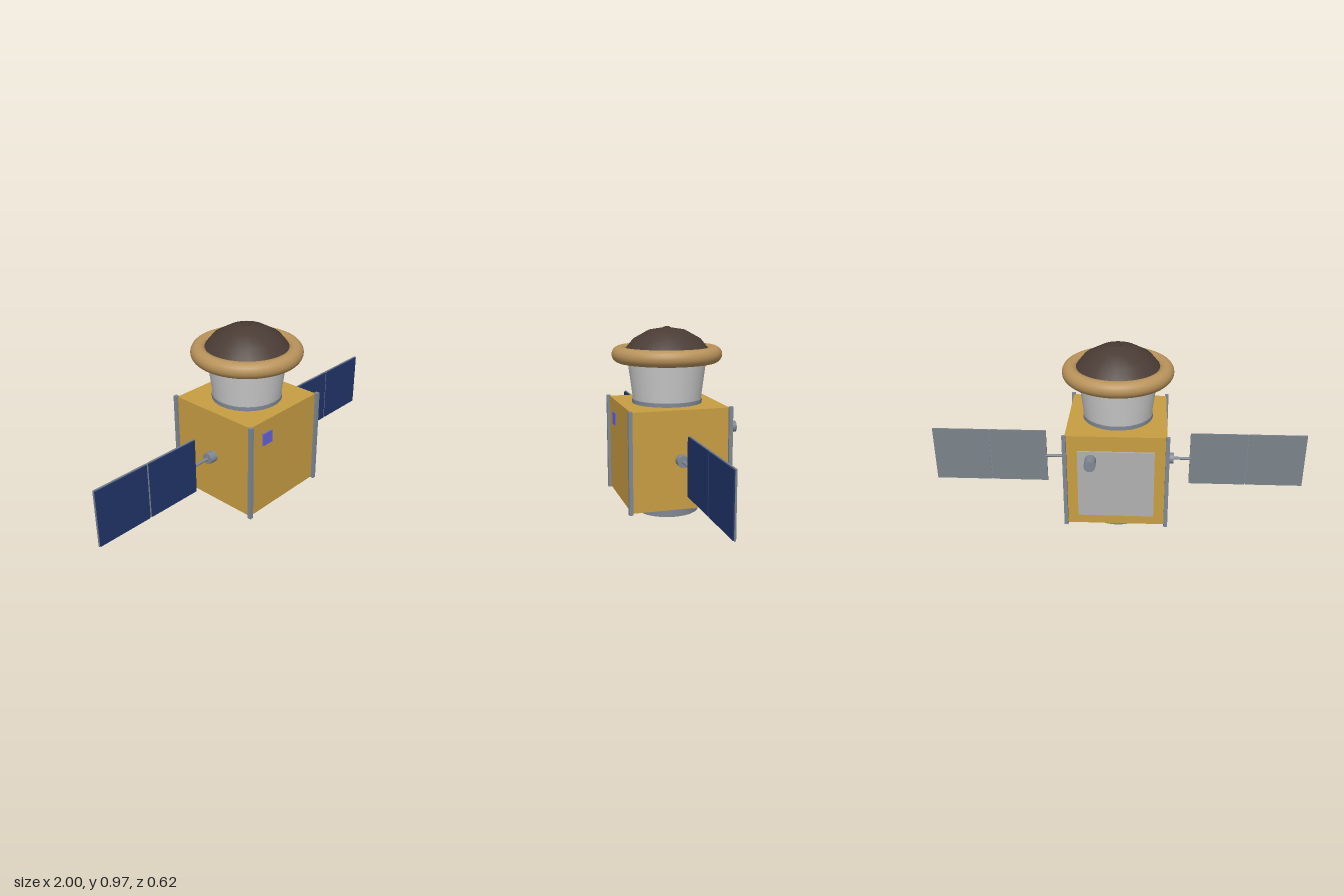
import * as THREE from 'three';
import { toCreasedNormals } from 'three/addons/utils/BufferGeometryUtils.js';

const paint = (color) => new THREE.MeshStandardMaterial({ color });
const gold = paint(0xc79d42), metal = paint(0x808893), white = paint(0xcccccc);
const brown = paint(0x4a3c35), tan = paint(0xb8925a), blue = paint(0x22356b);
const panelGrey = paint(0x7a828a), plateGrey = paint(0xb0b0b0), violet = paint(0x6464dc);

export function createModel() {
  const model = new THREE.Group();
  // everything is laid out around the central axis, which sits slightly forward
  const craft = new THREE.Group();
  craft.name = 'satellite';
  craft.position.z = 0.024;
  model.add(craft);

  function add(name, geometry, material, x = 0, y = 0, z = 0, parent = craft) {
    const mesh = new THREE.Mesh(geometry, material);
    mesh.name = name;
    mesh.position.set(x, y, z);
    parent.add(mesh);
    return mesh;
  }
  const box = (w, h, d) => new THREE.BoxGeometry(w, h, d);
  const lathe = (points, segments = 32) => toCreasedNormals(
    new THREE.LatheGeometry(points.map(([r, y]) => new THREE.Vector2(r, y)), segments), 0.6);

  // Main body with corner rails
  add('body', box(0.512, 0.51, 0.506), gold, 0, 0.325, 0);
  for (const sx of [-1, 1]) {
    for (const sz of [-1, 1]) {
      add('cornerRail', box(0.02, 0.52, 0.02), metal, sx * 0.259, 0.325, sz * 0.259);
    }
  }

  // Hollow ring underneath, with two clamps on one diagonal
  add('baseRing', lathe([[0.147, 0.072], [0.147, 0], [0.165, 0], [0.165, 0.072]], 40), metal);
  for (const s of [-1, 1]) {
    const r = 0.162 * Math.SQRT1_2;
    add('ringClamp', box(0.034, 0.055, 0.026), metal, s * r, 0.0475, -s * r).rotation.y = Math.PI / 4;
  }

  // Flared neck, padded rim and shallow dome
  add('neckCollar', new THREE.CylinderGeometry(0.183, 0.183, 0.02, 32), metal, 0, 0.59);
  add('neck', new THREE.CylinderGeometry(0.207, 0.178, 0.22, 32), white, 0, 0.71);
  add('rim', new THREE.TorusGeometry(0.244, 0.042, 20, 64), tan, 0, 0.831).rotation.x = Math.PI / 2;
  const dome = new THREE.LatheGeometry(
    [[0.228, 0.843], [0.174, 0.91], [0.095, 0.954], [0, 0.97]].map(([r, y]) => new THREE.Vector2(r, y)), 24);
  add('dome', dome, brown);
  add('domeCap', new THREE.CylinderGeometry(0.016, 0.016, 0.012, 16), brown, 0, 0.965);

  // Solar wings, mirrored left and right
  for (const s of [-1, 1]) {
    const wing = new THREE.Group();
    wing.name = s > 0 ? 'leftWing' : 'rightWing';
    wing.position.y = 0.327;
    craft.add(wing);
    add('wingHub', new THREE.CylinderGeometry(0.03, 0.03, 0.05, 24), metal, s * 0.275, 0, 0, wing)
      .rotation.z = Math.PI / 2;
    add('wingArm', new THREE.CylinderGeometry(0.008, 0.008, 0.12, 12), metal, s * 0.335, 0, 0, wing)
      .rotation.z = Math.PI / 2;
    for (const x of [0.538, 0.848]) {
      add('panelBacking', box(0.304, 0.304, 0.008), panelGrey, s * x, 0, -0.002, wing);
      add('solarCells', box(0.297, 0.297, 0.006), blue, s * x, 0, 0.005, wing);
    }
    add('panelHinge', box(0.008, 0.296, 0.005), metal, s * 0.693, 0, -0.002, wing);
  }

  // Front sensor window
  add('sensorWindow', box(0.068, 0.066, 0.012), violet, -0.131, 0.478, 0.253);

  // Rear radiator plate and short tube
  add('radiatorPlate', box(0.39, 0.375, 0.012), plateGrey, 0, 0.31, -0.256);
  add('rearTube', new THREE.CylinderGeometry(0.029, 0.029, 0.084, 24), metal, 0.127, 0.453, -0.292)
    .rotation.x = Math.PI / 2;

  return model;
}
